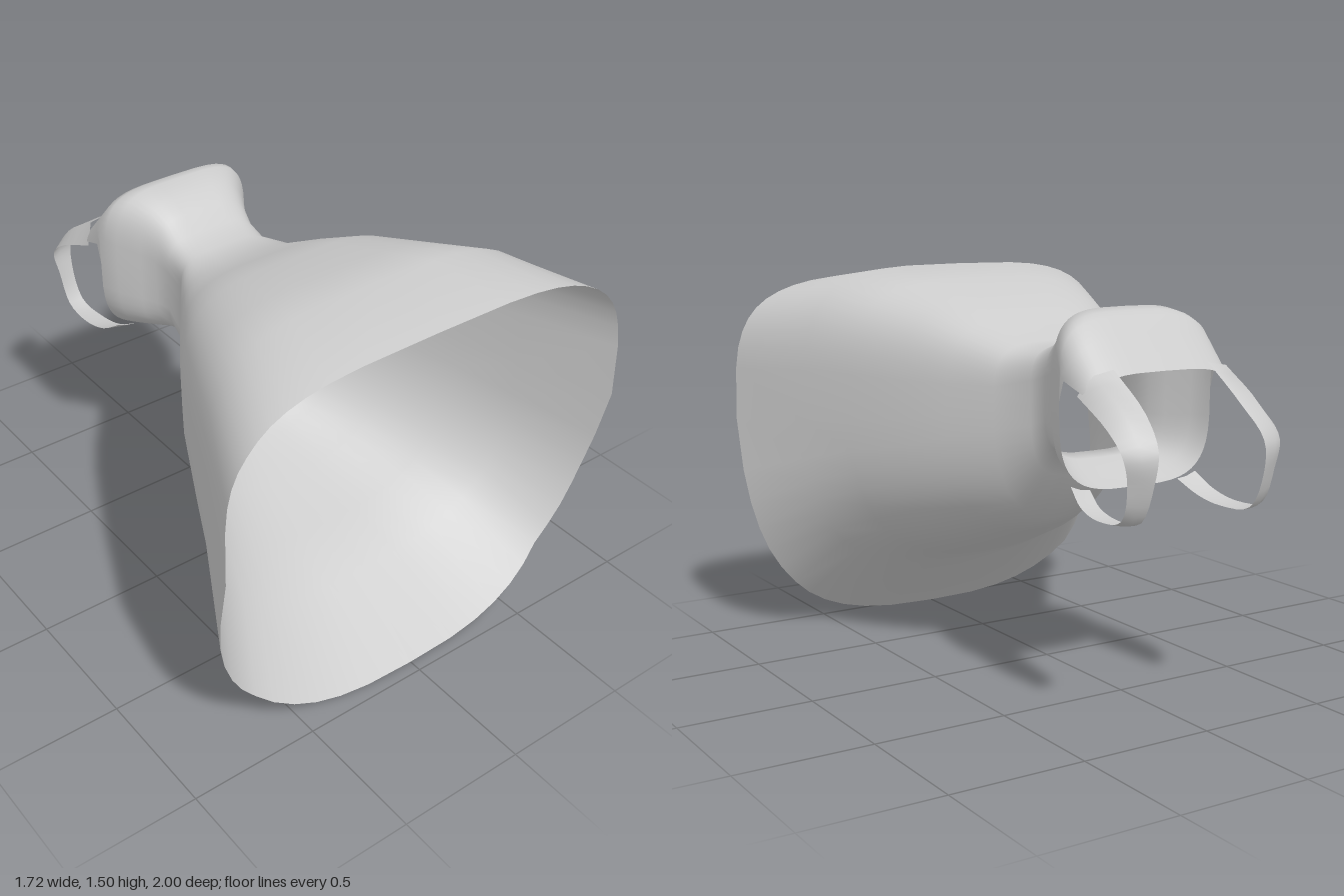
import * as THREE from 'three';

const material = new THREE.MeshStandardMaterial({ color: 0xcccccc, side: THREE.DoubleSide });

// Skin rows of points (all rows the same length) into one smooth sheet
function sheet(name, rows, closed) {
  const n = rows[0].length, index = [];
  for (let r = 0; r < rows.length - 1; r++) {
    for (let i = 0; i < (closed ? n : n - 1); i++) {
      const a = r * n + i, b = r * n + (i + 1) % n;
      index.push(a, b, a + n, b, b + n, a + n);
    }
  }
  const geometry = new THREE.BufferGeometry();
  geometry.setAttribute('position', new THREE.Float32BufferAttribute(rows.flat(2), 3));
  geometry.setIndex(index);
  geometry.computeVertexNormals();
  const mesh = new THREE.Mesh(geometry, material);
  mesh.name = name;
  return mesh;
}

// Rounded cross-section: half width, widest height, top, bottom, upper and lower squareness
function ring([z, w, mid, top, bottom, nUp, nLow]) {
  const points = [], count = 48;
  for (let i = 0; i < count; i++) {
    const a = (i / count) * Math.PI * 2, c = Math.cos(a), s = Math.sin(a);
    const n = s >= 0 ? nUp : nLow;
    const x = Math.sign(c) * w * Math.abs(c) ** (2 / n);
    const h = Math.abs(s) ** (2 / n);
    points.push([x, s >= 0 ? mid + (top - mid) * h : mid - (mid - bottom) * h, z]);
  }
  return points;
}

// Piecewise linear lookup
function lookup(table, v) {
  for (let i = 1; i < table.length; i++) {
    const [v0, a] = table[i - 1], [v1, b] = table[i];
    if (v <= v1) return a + (b - a) * (v - v0) / (v1 - v0);
  }
  return table[table.length - 1][1];
}

export function createModel() {
  const group = new THREE.Group();
  group.name = 'dress';

  // Skirt, from a wavy hem to the waist
  const hemZ = [[0, 0.95], [0.2, 0.89], [0.5, 0.92], [0.9, 1], [1.34, 0.98], [1.455, 0.955]];
  const hem = ring([1, 0.86, 0.88, 1.455, 0, 4, 2.8]).map(([x, y]) => [x, y, lookup(hemZ, y)]);
  const waist = [-0.21, 0.205, 1.04, 1.243, 0.76, 4.5, 3.4];
  const skirt = [
    [0.66, 0.71, 0.9, 1.5, 0.25, 3.8, 2.7],
    [0.45, 0.61, 0.93, 1.45, 0.335, 3.7, 2.6],
    [0.23, 0.5, 0.95, 1.4, 0.42, 3.6, 2.5],
    [0.07, 0.4, 0.98, 1.33, 0.495, 3.6, 2.4],
    [-0.09, 0.29, 1.01, 1.25, 0.57, 3.8, 2.4],
  ].map(ring);

  // Bodice, flaring out from the waist
  const bodice = [
    waist,
    [-0.3, 0.202, 1.06, 1.275, 0.86, 4.5, 4],
    [-0.36, 0.215, 1.07, 1.33, 0.845, 4.2, 4],
    [-0.42, 0.245, 1.08, 1.372, 0.825, 4, 4],
    [-0.5, 0.3, 1.09, 1.403, 0.8, 4, 3.6],
    [-0.55, 0.318, 1.1, 1.392, 0.783, 4, 3.6],
    [-0.58, 0.325, 1.1, 1.375, 0.775, 4, 3.6],
  ].map(ring);

  // Chest: the upper edge runs on to the neckline, the sides stop at the armholes
  const armhole = bodice[bodice.length - 1];
  const chest = [0.33, 0.67, 1].map((t) => armhole.map(([x, y, z]) => {
    const k = t * THREE.MathUtils.smoothstep(y, 1.16, 1.32);
    return [x, y - k * 0.175, z - k * 0.16];
  }));
  group.add(sheet('dressBody', [hem, ...skirt, ...bodice, ...chest], true));

  // Shoulder straps: inner, middle and outer edges looping from neckline to back
  const edges = [
    [[0.2, 1.215, -0.72], [0.2, 1.09, -0.9], [0.22, 0.98, -1], [0.23, 0.87, -0.993],
      [0.23, 0.735, -0.925], [0.22, 0.715, -0.78], [0.21, 0.735, -0.66], [0.19, 0.78, -0.57]],
    [[0.28, 1.2, -0.72], [0.28, 1.085, -0.9], [0.28, 0.97, -0.988], [0.27, 0.87, -0.98],
      [0.265, 0.735, -0.92], [0.26, 0.715, -0.78], [0.25, 0.737, -0.66], [0.23, 0.785, -0.57]],
    [[0.32, 1.13, -0.68], [0.335, 1.04, -0.88], [0.33, 0.965, -0.955], [0.31, 0.87, -0.955],
      [0.3, 0.745, -0.91], [0.3, 0.722, -0.78], [0.29, 0.745, -0.66], [0.27, 0.8, -0.57]],
  ];
  for (const side of [1, -1]) {
    const rows = edges.map((edge) => new THREE.CatmullRomCurve3(
      edge.map(([x, y, z]) => new THREE.Vector3(x * side, y, z)), false, 'centripetal',
    ));
    const strap = rows.map((curve) => Array.from({ length: 29 }, (_, i) => curve.getPoint(i / 28).toArray()));
    group.add(sheet(side > 0 ? 'leftStrap' : 'rightStrap', strap, false));
  }

  return group;
}
